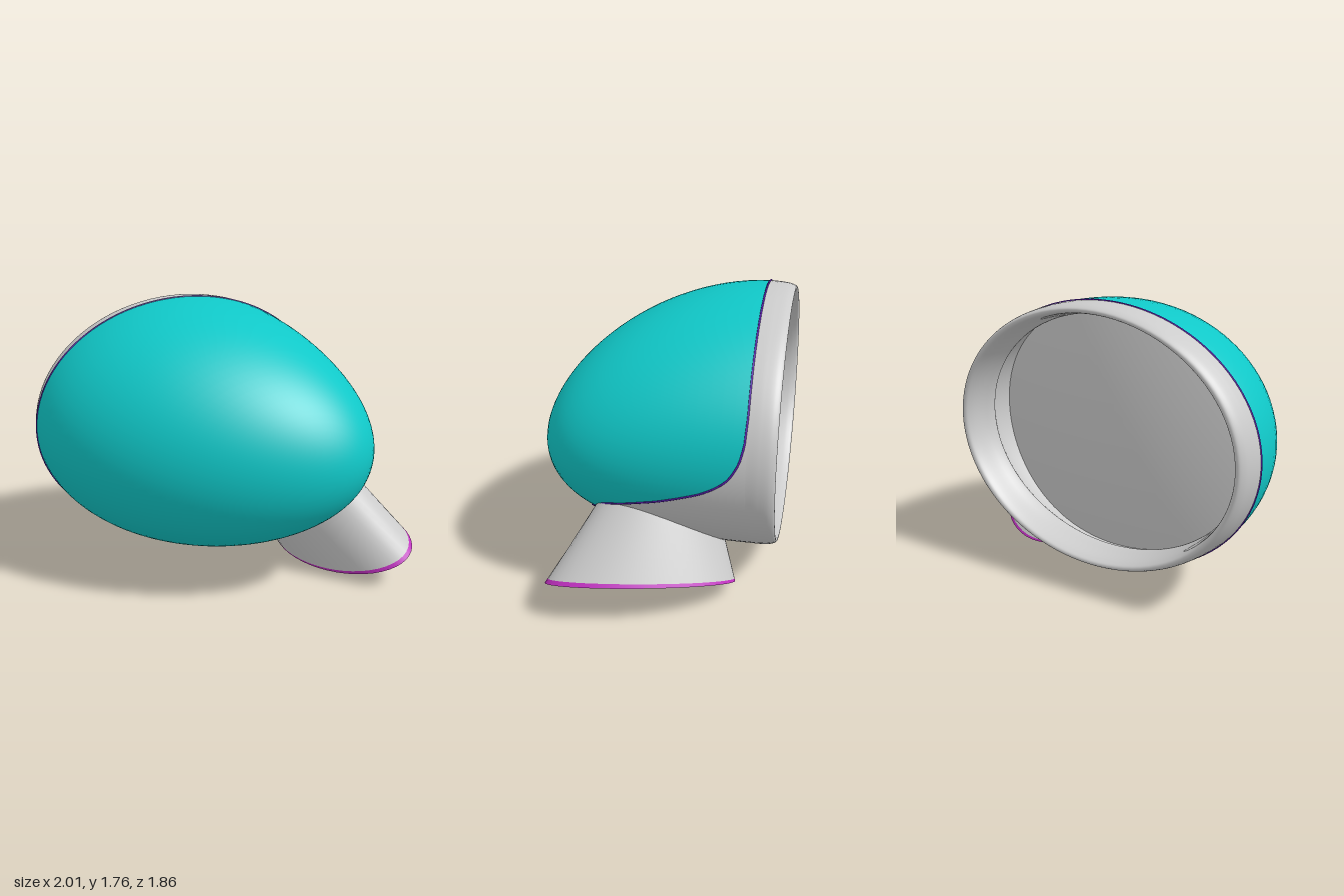
import * as THREE from 'three';
import { ParametricGeometry } from 'three/addons/geometries/ParametricGeometry.js';

const A = 1.013, B = 0.803, DEPTH = 1.288, MID = 0.955; // dome half width, half height, depth, centre height
const TURN = Math.asin(0.28);                           // the back is turned sideways
const HALF = Math.PI / 2 - 0.0005;
const TAU = Math.PI * 2;

const mat = (color) => new THREE.MeshStandardMaterial({ color, side: THREE.DoubleSide });
const grey = mat(0xcccccc), teal = mat(0x10c8c8), violet = mat(0x5a1fb0), magenta = mat(0xc030c0);

// Point on the leaning half ellipsoid: t runs from the rim to the tip, a runs around
function domePoint(t, a, out) {
  const s = Math.sin(t), c = Math.cos(t);
  return out.set(
    0.42 * s * s + A * c * Math.cos(a),
    MID - 0.05 * s * s + B * c * Math.sin(a),
    DEPTH * s);
}

// Is a world point inside the dome?
function insideDome(p) {
  const u = 0.96 * p.x + 0.28 * (p.z + 0.5), w = -0.28 * p.x + 0.96 * (p.z + 0.5);
  const s = w / DEPTH;
  return ((u - 0.42 * s * s) / A) ** 2 + ((p.y - MID + 0.05 * s * s) / B) ** 2 + s * s < 0.975;
}

// Depth of the colour seam around the dome: [degrees, depth]
const seam = [[-180, 0.005], [-108, 0.005], [-84, 0.12], [-72, 0.35], [-66, 0.72], [-59, 0.88],
  [-46, 0.97], [-28, 0.86], [-20, 0.68], [-6, 0.2], [0, 0.1], [6, 0.045], [14, 0.015], [25, 0.005], [180, 0.005]];
function seamT(a) {
  const d = THREE.MathUtils.euclideanModulo(THREE.MathUtils.radToDeg(a) + 180, 360) - 180;
  let i = 0;
  while (i < seam.length - 2 && d > seam[i + 1][0]) i++;
  const [d0, w0] = seam[i], [d1, w1] = seam[i + 1];
  return Math.asin((w0 + (w1 - w0) * (d - d0) / (d1 - d0)) / DEPTH);
}

// Side tube: two oval rings, interpolated and extended inwards
const v3 = (x, y, z) => new THREE.Vector3(x, y, z);
const base = { c: v3(0.5, 0.44, 0.22), a: v3(-0.03, 0.1, 0.4), b: v3(0.22, 0.18, 0.05) };
const end = { c: v3(0.68, 0.145, 0.35), a: v3(0.02, 0.05, 0.58), b: v3(0.27, 0.136, 0) };
function tubePoint(k, ang, out, scale = 1) {
  const mix = (n) => base[n].clone().lerp(end[n], k);
  return out.copy(mix('c'))
    .addScaledVector(mix('a'), scale * Math.cos(ang))
    .addScaledVector(mix('b'), -scale * Math.sin(ang));
}
// Where each line of the tube wall enters the dome
function tubeStart(ang) {
  const p = v3(0, 0, 0);
  let k = 0.9;
  while (k > -0.45 && !insideDome(tubePoint(k, ang, p))) k -= 0.01;
  return k;
}

function add(parent, name, geometry, material) {
  const mesh = new THREE.Mesh(geometry, material);
  mesh.name = name;
  parent.add(mesh);
}

export function createModel() {
  const model = new THREE.Group();
  model.name = 'cup';
  const shell = new THREE.Group();
  shell.name = 'shell';
  shell.rotation.y = -TURN;
  shell.position.z = -0.5;
  model.add(shell);

  // Coloured front and grey skirt on either side of the seam
  add(shell, 'domeCover', new ParametricGeometry((u, v, p) => {
    const t = seamT(u * TAU);
    domePoint(t + (HALF - t) * v, u * TAU, p);
  }, 96, 28), teal);
  add(shell, 'skirt', new ParametricGeometry((u, v, p) =>
    domePoint(seamT(u * TAU) * v, u * TAU, p), 96, 16), grey);

  // Thin line along the seam
  const line = [];
  for (let i = 0; i < 96; i++) {
    const a = i / 96 * TAU;
    line.push(domePoint(seamT(a), a, v3(0, 0, 0)));
  }
  add(shell, 'seamLine', new THREE.TubeGeometry(
    new THREE.CatmullRomCurve3(line, true), 192, 0.006, 6, true), violet);

  // Rim with a rounded back edge and an inner lip: [scale, depth]
  const rim = new THREE.CatmullRomCurve3([
    [1, 0], [0.997, -0.07], [0.985, -0.135], [0.965, -0.163], [0.943, -0.16], [0.928, -0.13],
    [0.915, -0.04], [0.9, 0.05], [0.915, 0.062], [0.93, 0.1], [0.93, 0.25]
  ].map(([s, w]) => v3(s, w, 0)));
  add(shell, 'rim', new ParametricGeometry((u, v, p) => {
    const q = rim.getPoint(v), a = u * TAU;
    p.set(A * q.x * Math.cos(a) + Math.max(0, -q.y) * 0.08, MID + B * q.x * Math.sin(a), q.y);
  }, 96, 40), grey);

  // Gently bulging panel that closes the back inside the rim
  add(shell, 'backPanel', new ParametricGeometry((u, v, p) => {
    const r = 1 - 0.9995 * v, x = 0.935 * A * r * Math.cos(u * TAU), y = 0.935 * B * r * Math.sin(u * TAU);
    p.set(x, MID + y, 0.05 + 0.2 * x * x + 0.1 * y * y);
  }, 64, 12), grey);

  // Flared side tube, trimmed where it meets the dome
  const BAND = 0.94;
  add(model, 'sideTube', new ParametricGeometry((u, v, p) => {
    const k = tubeStart(u * TAU);
    tubePoint(k + (BAND - k) * v, u * TAU, p);
  }, 48, 8), grey);
  add(model, 'tubeBand', new ParametricGeometry((u, v, p) =>
    tubePoint(BAND + (1 - BAND) * v, u * TAU, p), 48, 1), magenta);
  add(model, 'tubeEnd', new ParametricGeometry((u, v, p) =>
    tubePoint(1, u * TAU, p, 1 - 0.999 * v), 48, 3), grey);

  return model;
}
